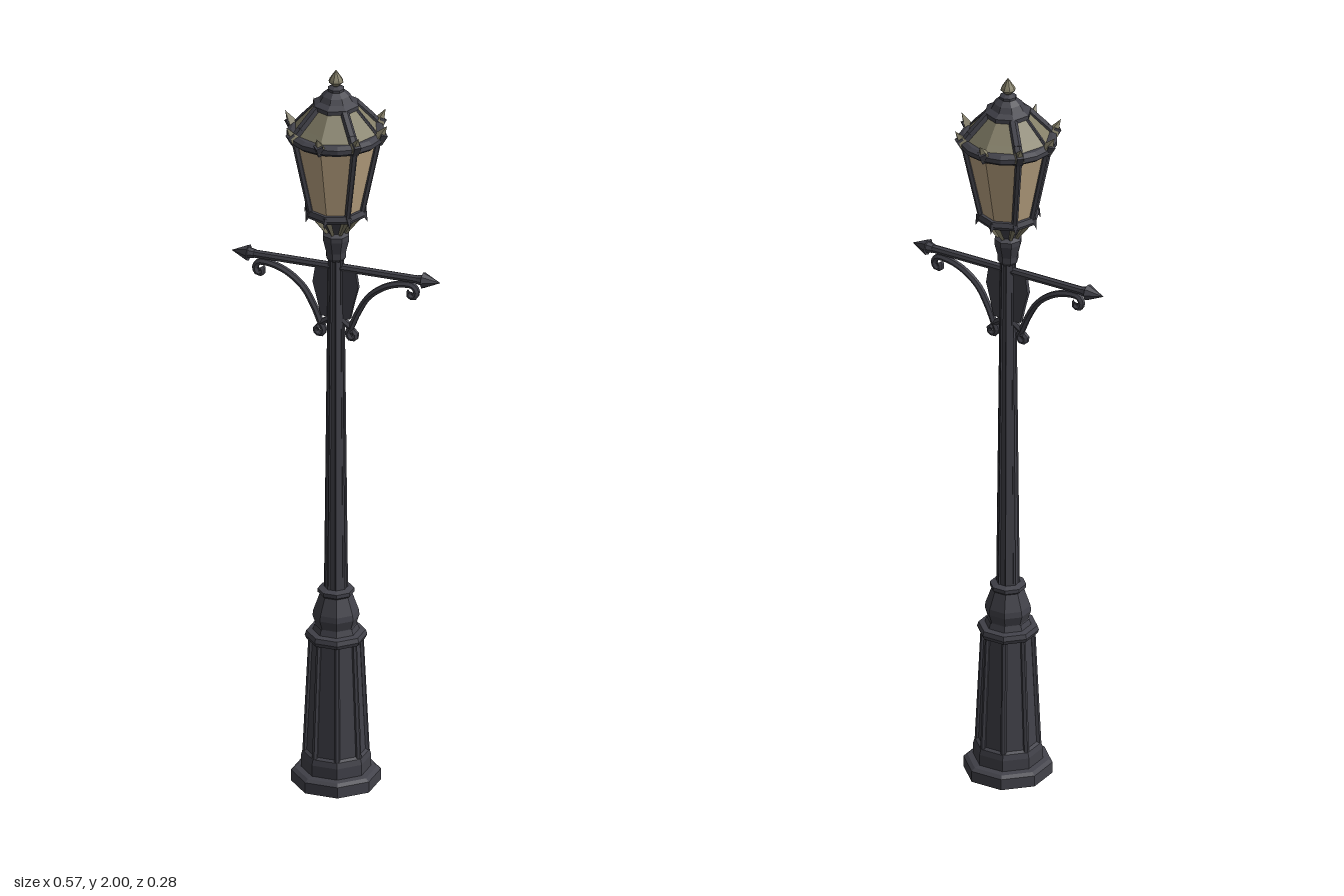
import * as THREE from 'three';

const iron = new THREE.MeshStandardMaterial({ color: 0x42424a, flatShading: true });
iron.name = 'dark iron';
const glass = new THREE.MeshStandardMaterial({ color: 0xbfa785, flatShading: true, side: THREE.DoubleSide });
glass.name = 'warm glass';
const bronze = new THREE.MeshStandardMaterial({ color: 0x858069, flatShading: true, side: THREE.DoubleSide });
bronze.name = 'aged bronze';

const V = (x, y, z) => new THREE.Vector3(x, y, z);
// Point on the lantern: angle measured from +z, radius, height
const polar = (a, r, y) => V(Math.sin(a) * r, y, Math.cos(a) * r);

export function createModel() {
  const model = new THREE.Group();
  model.name = 'streetLamp';

  function add(name, geometry, material = iron, parent = model) {
    const mesh = new THREE.Mesh(geometry, material);
    mesh.name = name;
    parent.add(mesh);
    return mesh;
  }
  function lathe(name, profile, material = iron, sides = 8, turn = 0) {
    const pts = profile.map(([r, y]) => new THREE.Vector2(r, y));
    return add(name, new THREE.LatheGeometry(pts, sides, turn), material);
  }
  // Straight tapered bar between two points
  function bar(name, a, b, r0, r1, material = iron, sides = 6, parent = model) {
    const dir = b.clone().sub(a);
    const mesh = add(name, new THREE.CylinderGeometry(r1, r0, dir.length(), sides), material, parent);
    mesh.position.copy(a).add(b).multiplyScalar(0.5);
    mesh.quaternion.setFromUnitVectors(V(0, 1, 0), dir.normalize());
    return mesh;
  }

  // Octagonal pedestal with flat sides to the front
  const flat = Math.PI / 8;
  lathe('pedestal', [
    [0, 0], [0.115, 0], [0.115, 0.03], [0.105, 0.037], [0.09, 0.04], [0.09, 0.07],
    [0.086, 0.085], [0.078, 0.09], [0.063, 0.395], [0.076, 0.4], [0.08, 0.41],
    [0.076, 0.422], [0.06, 0.425], [0.055, 0.44],
  ], iron, 8, flat);
  lathe('pedestalNeck', [
    [0.055, 0.425], [0.052, 0.44], [0.06, 0.465], [0.058, 0.48], [0.042, 0.525],
    [0.047, 0.53], [0.047, 0.54], [0.03, 0.545],
  ], iron, 8, flat);
  for (let i = 0; i < 8; i++) {
    const a = flat + i * Math.PI / 4;
    bar('pedestalRib', polar(a, 0.078, 0.085), polar(a, 0.064, 0.4), 0.008, 0.007);
  }

  // Fluted tapering shaft
  lathe('shaft', [[0.028, 0.535], [0.026, 0.75], [0.018, 1.48]], iron, 8, flat);
  for (let i = 0; i < 8; i++) {
    const a = flat + i * Math.PI / 4;
    bar('shaftRib', polar(a, 0.027, 0.54), polar(a, 0.018, 1.48), 0.004, 0.003, iron, 4);
  }

  // Ladder bar with arrow ends
  bar('crossbar', V(-0.225, 1.445, 0), V(0.225, 1.445, 0), 0.011, 0.011, iron, 8);
  for (const s of [-1, 1]) {
    const arm = new THREE.Group();
    arm.name = s > 0 ? 'leftArm' : 'rightArm';
    model.add(arm);
    bar('armCollar', V(s * 0.222, 1.445, 0), V(s * 0.24, 1.445, 0), 0.012, 0.016, iron, 8, arm);
    bar('armTip', V(s * 0.238, 1.445, 0), V(s * 0.285, 1.445, 0), 0.022, 0, iron, 8, arm);

    // S-shaped bracket ending in scrolls
    const path = [
      [0.205, 1.412], [0.199, 1.4], [0.211, 1.393], [0.22, 1.407], [0.211, 1.424],
      [0.18, 1.425], [0.135, 1.41], [0.09, 1.375], [0.06, 1.325], [0.043, 1.285],
      [0.033, 1.262], [0.042, 1.25], [0.054, 1.257], [0.05, 1.27], [0.042, 1.267],
    ].map(([x, y]) => V(s * x, y, 0));
    const curve = new THREE.CatmullRomCurve3(path);
    add('scrollBracket', new THREE.TubeGeometry(curve, 48, 0.009, 6), iron, arm);
    bar('bracketFoot', V(0, 1.31, 0), V(s * 0.042, 1.28, 0), 0.009, 0.009, iron, 6, arm);

    // Web plate between shaft and bracket
    const web = new THREE.Shape([
      [0, 1.44], [0.055, 1.44], [0.062, 1.395], [0.05, 1.35], [0.04, 1.305], [0, 1.3],
    ].map(([x, y]) => new THREE.Vector2(x, y)));
    const plate = add('webPlate', new THREE.ExtrudeGeometry(web, { depth: 0.012, bevelEnabled: false }), iron, arm);
    if (s < 0) plate.rotation.y = Math.PI;
    plate.position.z = -0.006 * s;
  }

  // Cup and flared seat under the lantern
  lathe('cup', [
    [0.02, 1.465], [0.027, 1.475], [0.027, 1.49], [0.036, 1.525], [0.036, 1.538],
    [0.024, 1.545], [0.03, 1.56], [0.045, 1.585], [0.075, 1.6],
  ]);
  lathe('lowerRing', [
    [0.06, 1.597], [0.08, 1.597], [0.083, 1.605], [0.078, 1.617], [0.06, 1.617],
  ]);

  // Glass body
  lathe('sidePanes', [[0.068, 1.612], [0.112, 1.815]], glass);

  // Upper gallery ring
  lathe('upperRing', [
    [0.105, 1.81], [0.118, 1.808], [0.127, 1.816], [0.127, 1.828], [0.115, 1.835], [0.1, 1.835],
  ], iron, 16);

  // Roof panes and stepped cap
  lathe('roofPanes', [[0.114, 1.832], [0.098, 1.85], [0.054, 1.9]], bronze);
  lathe('roofCap', [
    [0.05, 1.893], [0.061, 1.896], [0.061, 1.907], [0.045, 1.916], [0.036, 1.93],
    [0.022, 1.942], [0.022, 1.949], [0.009, 1.955], [0.009, 1.962],
  ]);
  lathe('finial', [[0.008, 1.955], [0.02, 1.967], [0.017, 1.974], [0, 2]], bronze);

  for (let i = 0; i < 8; i++) {
    const a = i * Math.PI / 4;
    // Corner posts, left out at the wide front and back panes
    if (i % 4 !== 0) {
      bar('cornerPost', polar(a, 0.07, 1.605), polar(a, 0.115, 1.82), 0.008, 0.009);
      const w = i % 2 ? 0.012 : 0.005;
      const rafter = new THREE.Group();
      rafter.name = 'rafter';
      model.add(rafter);
      bar('lowerRafter', polar(a, 0.114, 1.83), polar(a, 0.098, 1.85), w, w, iron, 6, rafter);
      bar('upperRafter', polar(a, 0.098, 1.85), polar(a, 0.052, 1.9), w, w, iron, 6, rafter);
    }
    // Crown leaf, its holder, lower bud and supporting petal
    bar('crownLeaf', polar(a, 0.116, 1.825), polar(a, 0.139, 1.863), 0.018, 0, bronze, 4);
    bar('crownHolder', polar(a, 0.115, 1.812), polar(a, 0.13, 1.84), 0.012, 0.013, iron, 4);
    bar('lowerBud', polar(a, 0.076, 1.612), polar(a, 0.086, 1.585), 0.009, 0, iron, 4);
    bar('petal', polar(a, 0.026, 1.545), polar(a, 0.062, 1.6), 0.005, 0.01, bronze, 4);
  }

  return model;
}
